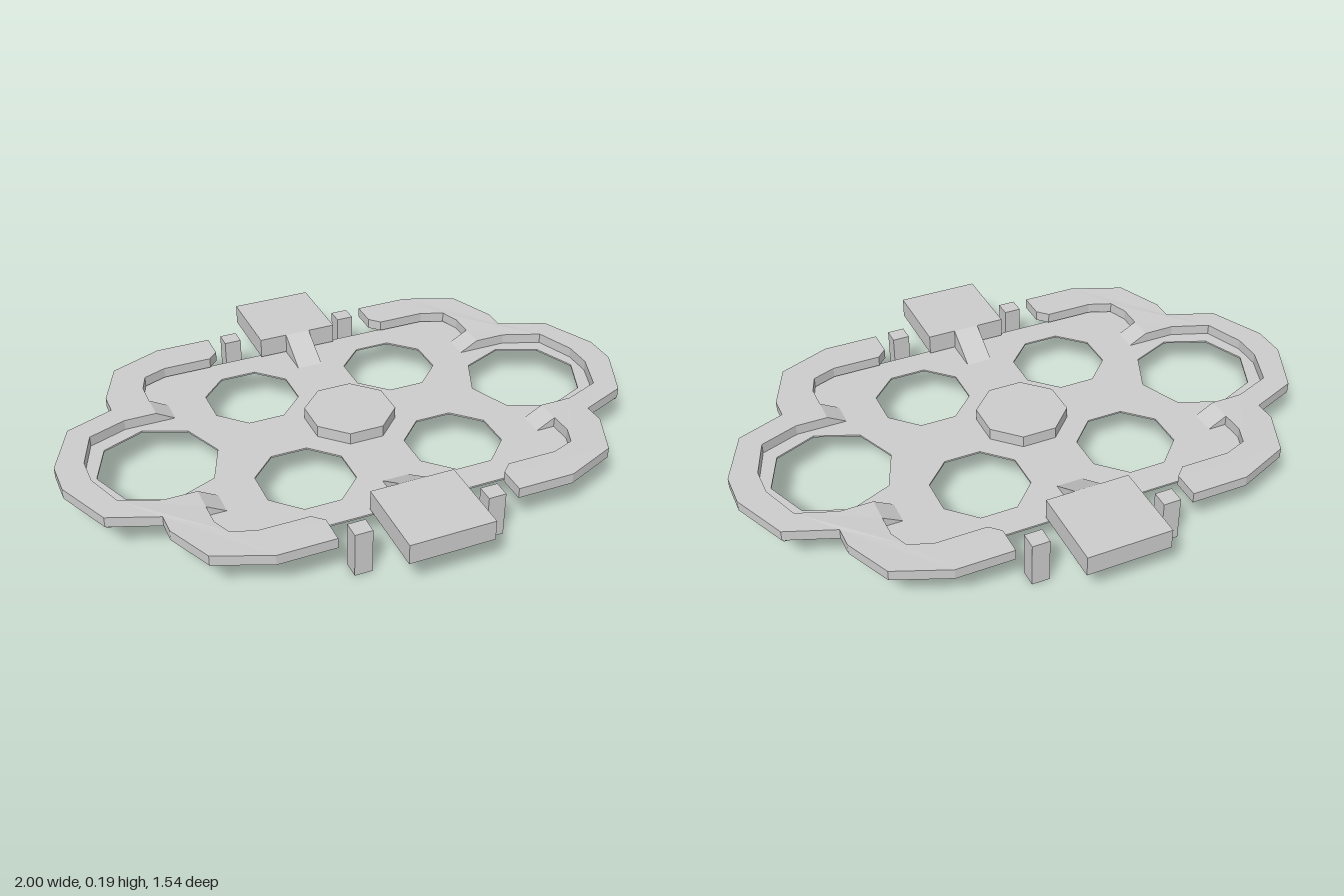
import * as THREE from 'three';

const material = new THREE.MeshStandardMaterial({ color: 0xcccccc, flatShading: true });

const toPoints = (list) => list.map(([x, z]) => new THREE.Vector2(x, z));

// Regular octagon given its centre, circumradius and start angle
const octagon = (cx, cz, r, start) =>
  Array.from({ length: 8 }, (_, i) => {
    const a = start + (i * Math.PI) / 4;
    return [cx + r * Math.cos(a), cz + r * Math.sin(a)];
  });

// Slab with an x/z outline (and holes) between two heights
function slab(outline, bottom, top, holes = []) {
  const shape = new THREE.Shape(toPoints(outline));
  for (const h of holes) shape.holes.push(new THREE.Path(toPoints(h)));
  const g = new THREE.ExtrudeGeometry(shape, { depth: top - bottom, bevelEnabled: false });
  g.rotateX(Math.PI / 2);
  g.translate(0, top, 0);
  return g;
}

// Ramp falling from height h to 0 along +x, centred across z
function ramp(length, h, width) {
  const shape = new THREE.Shape(toPoints([[0, 0], [length, 0], [0, h]]));
  const g = new THREE.ExtrudeGeometry(shape, { depth: width, bevelEnabled: false });
  g.translate(0, 0, -width / 2);
  return g;
}

export function createModel() {
  const model = new THREE.Group();
  model.name = 'multiLevelArena';
  const add = (name, geometry, parent = model) => {
    const mesh = new THREE.Mesh(geometry, material);
    mesh.name = name;
    parent.add(mesh);
    return mesh;
  };
  const floor = 0.115;

  // Thin cross-shaped floor with six octagonal openings
  const quarter = [[0.91, 0.25], [0.63, 0.27], [0.63, 0.51]];
  const flip = (list, sx, sz) => list.map(([x, z]) => [x * sx, z * sz]);
  const floorOutline = [
    ...quarter,
    ...flip(quarter, -1, 1).reverse(),
    ...flip(quarter, -1, -1),
    ...flip(quarter, 1, -1).reverse(),
  ];
  const holes = [];
  for (const sx of [-1, 1]) {
    holes.push(octagon(sx * 0.677, 0, 0.203, 0));
    for (const sz of [-1, 1]) holes.push(octagon(sx * 0.264, sz * 0.257, 0.163, Math.PI / 8));
  }
  add('floorPlate', slab(floorOutline, 0.109, floor, holes));

  // Raised octagon in the middle
  add('centrePlatform', slab(octagon(0, 0, 0.155, Math.PI / 8), floor, 0.156));

  // Raised rim of one end, with ramped tongues between its lobes
  const outer = [[0.305, 0.625], [0.5, 0.625], [0.68, 0.55], [0.75, 0.39], [0.75, 0.315], [0.915, 0.25], [1, 0.06]];
  const inner = [
    [0.905, 0.05], [0.855, 0.185], [0.725, 0.235], [0.615, 0.235], [0.615, 0.32],
    [0.615, 0.4], [0.59, 0.465], [0.51, 0.495], [0.34, 0.495], [0.305, 0.53],
  ];
  const rimOutline = [
    ...outer,
    ...flip(outer, 1, -1).reverse(),
    ...flip(inner, 1, -1).reverse(),
    ...inner,
  ];
  for (const side of [0, 1]) {
    const end = new THREE.Group();
    end.name = side ? 'rightEnd' : 'leftEnd';
    end.rotation.y = side * Math.PI;
    model.add(end);

    const rim = slab(rimOutline, floor, 0.151);
    const p = rim.attributes.position;
    // the rim rises a little towards the front and back
    for (let i = 0; i < p.count; i++) {
      const t = THREE.MathUtils.clamp((Math.abs(p.getZ(i)) - 0.32) / 0.2, 0, 1);
      p.setY(i, p.getY(i) + 0.006 * t);
    }
    add('rim', rim, end);

    for (const sz of [-1, 1]) {
      const tongue = add('tongueRamp', ramp(0.065, 0.036, 0.085), end);
      tongue.rotation.y = Math.PI;
      tongue.position.set(0.615, floor, sz * 0.2775);
    }
  }

  // High platforms at front and back, each with a ramp and two posts
  for (const sz of [-1, 1]) {
    const name = sz > 0 ? 'front' : 'back';
    const block = add(name + 'Platform', new THREE.BoxGeometry(0.286, 0.07, 0.28));
    block.position.set(0, 0.154, sz * 0.632);

    const slope = add(name + 'Ramp', ramp(0.122, 0.074, 0.09));
    slope.rotation.y = (sz * Math.PI) / 2;
    slope.position.set(0, floor, sz * 0.492);

    for (const sx of [-1, 1]) {
      const post = add(name + 'Post', new THREE.BoxGeometry(0.06, 0.157, 0.058));
      post.position.set(sx * 0.225, 0.0785, sz * 0.603);
    }
  }
  return model;
}
